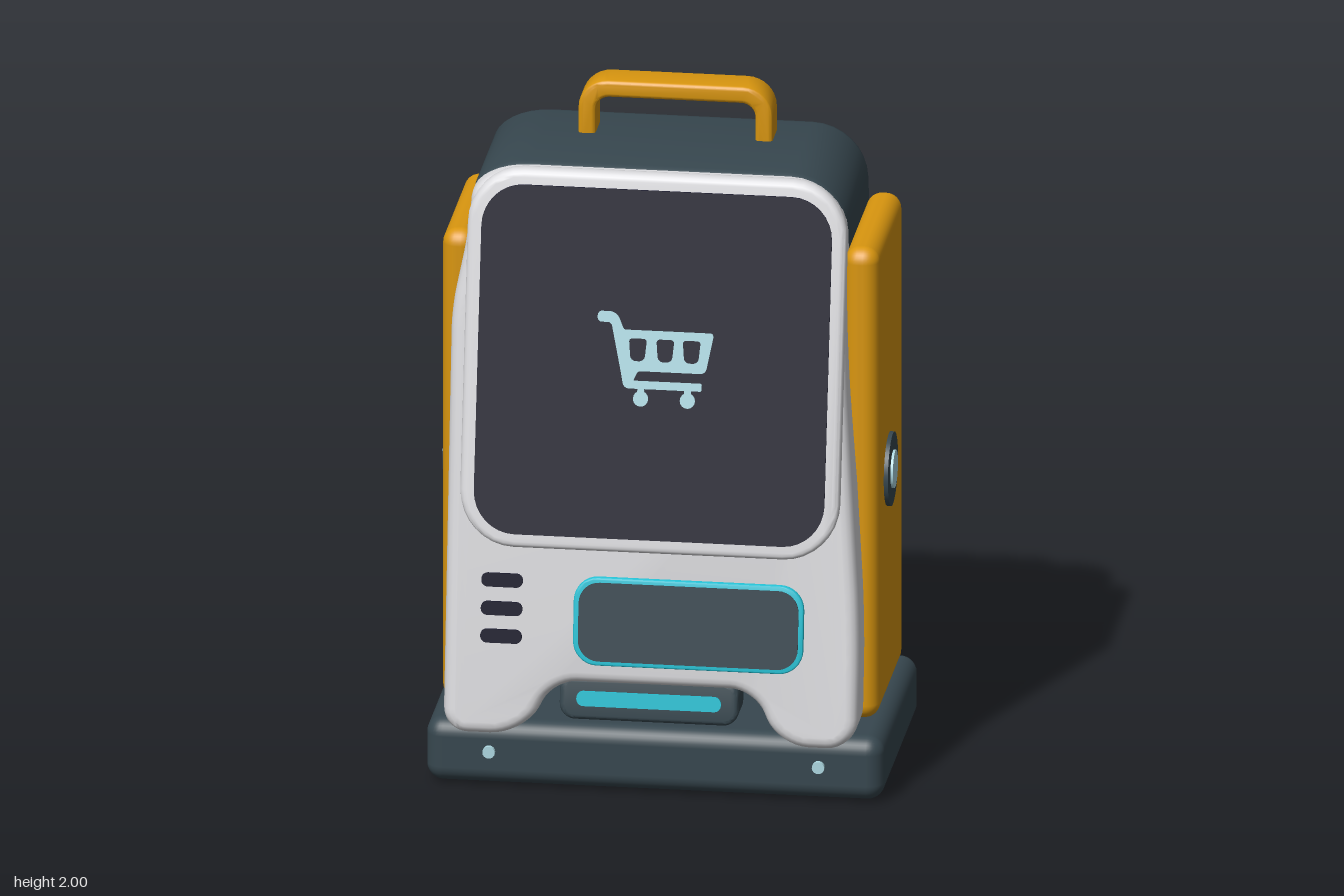
import * as THREE from 'three';
import { toCreasedNormals } from 'three/addons/utils/BufferGeometryUtils.js';
import { RoundedBoxGeometry } from 'three/addons/geometries/RoundedBoxGeometry.js';

const material = (name, color) => {
  const m = new THREE.MeshStandardMaterial({ color });
  m.name = name;
  return m;
};

// Closed outline from [x, y, cornerRadius] points
function roundedOutline(points, Target = THREE.Shape) {
  const shape = new Target();
  const n = points.length;
  points.forEach(([x, y, r], i) => {
    const p = new THREE.Vector2(x, y);
    const toward = ([qx, qy]) => {
      const d = new THREE.Vector2(qx, qy).sub(p);
      return d.setLength(Math.min(r, d.length() * 0.49)).add(p);
    };
    const a = toward(points[(i + n - 1) % n]);
    const b = toward(points[(i + 1) % n]);
    if (i === 0) shape.moveTo(a.x, a.y);
    else shape.lineTo(a.x, a.y);
    // Control points pulled close to a circular arc
    const k = 0.55;
    const c = a.clone().lerp(p, k), d = b.clone().lerp(p, k);
    shape.bezierCurveTo(c.x, c.y, d.x, d.y, b.x, b.y);
  });
  shape.closePath();
  return shape;
}

const rect = (x0, y0, x1, y1, r) =>
  roundedOutline([[x0, y0, r], [x1, y0, r], [x1, y1, r], [x0, y1, r]]);

// Extruded plate whose front lies at z = front - slope * y
function plateGeometry(shape, depth, bevel, front, slope = 0) {
  const geo = new THREE.ExtrudeGeometry(shape, {
    depth: depth - 2 * bevel, bevelEnabled: bevel > 0, bevelSize: bevel,
    bevelThickness: bevel, bevelOffset: -bevel, bevelSegments: 4, curveSegments: 8,
  });
  geo.translate(0, 0, bevel - depth);
  const p = geo.attributes.position;
  for (let i = 0; i < p.count; i++) p.setZ(i, p.getZ(i) + front - slope * p.getY(i));
  geo.computeVertexNormals();
  return toCreasedNormals(geo, 0.6);
}

// Body silhouette with two feet and a notch between them
const bodyOutline = (top) => roundedOutline([
  [-0.595, 0.2, 0.07], [-0.36, 0.2, 0.1], [-0.28, 0.36, 0.07], [0.3, 0.36, 0.07],
  [0.37, 0.2, 0.09], [0.6, 0.2, 0.09], [0.6, 0.55, 0.12], [0.542, 1.3, 0.12],
  [0.53, top, 0.16], [-0.54, top, 0.16], [-0.55, 1.65, 0.08], [-0.595, 1.42, 0.06],
]);

export function createModel() {
  const slate = material('slate', 0x37474f);
  const amber = material('amber', 0xd9960f);
  const white = material('shell white', 0xdadadd);
  const navy = material('dark navy', 0x0f0f26);
  const teal = material('teal', 0x24bfd2);
  const ice = material('pale blue', 0xaed9e2);

  const model = new THREE.Group();
  const add = (name, geo, mat, x = 0, y = 0, z = 0) => {
    const mesh = new THREE.Mesh(geo, mat);
    mesh.name = name;
    mesh.position.set(x, y, z);
    model.add(mesh);
    return mesh;
  };
  const plate = (name, mat, shape, depth, bevel, front, slope) =>
    add(name, plateGeometry(shape, depth, bevel, front, slope), mat);

  // Base with studs and floor pads
  add('base', new RoundedBoxGeometry(1.32, 0.192, 0.76, 4, 0.05), slate, 0, 0.101, -0.06);
  for (const s of [-1, 1]) {
    add('baseStud', new THREE.CylinderGeometry(0.018, 0.018, 0.03, 16), ice, s * 0.475, 0.11, 0.318)
      .rotation.x = Math.PI / 2;
    add('floorPad', new THREE.BoxGeometry(0.18, 0.008, 0.58), navy, s * 0.48, 0.004, -0.04);
  }

  // Main body and leaning front shell
  plate('body', slate, bodyOutline(1.84), 0.5, 0.04, 0.16);
  const face = 0.466, lean = 0.145;
  plate('frontShell', white, bodyOutline(1.834), 0.165, 0.035, face, lean);

  // Side panels with round badges
  for (const s of [-1, 1]) {
    add('sidePanel', new RoundedBoxGeometry(0.1, 1.43, 0.53, 4, 0.045), amber, s * 0.58, 0.925, -0.065);
    const disc = (name, r, outer, mat) =>
      add(name, new THREE.CylinderGeometry(r, r, 0.05, 40), mat, s * (outer - 0.025), 0.9, -0.025)
        .rotation.z = Math.PI / 2;
    disc('sideDiscRim', 0.107, 0.642, slate);
    disc('sideDiscCentre', 0.055, 0.649, ice);
  }

  // Carrying handle
  const grip = roundedOutline([
    [-0.28, 1.8, 0], [-0.23, 1.8, 0], [-0.23, 1.95, 0.04], [0.23, 1.95, 0.04],
    [0.23, 1.8, 0], [0.28, 1.8, 0], [0.28, 2, 0.085], [-0.28, 2, 0.085],
  ]);
  plate('handle', amber, grip, 0.11, 0.012, -0.125);

  // Screen
  const screenFace = 0.594, tilt = 0.21;
  plate('screenBezel', white, rect(-0.55, 0.77, 0.545, 1.842, 0.16), 0.05, 0.02, screenFace, tilt);
  plate('screenGlass', navy, rect(-0.508, 0.812, 0.503, 1.8, 0.12), 0.008, 0, screenFace + 0.003, tilt);

  // Cart pictogram: handle and basket, rail, legs and wheels
  const icon = (shape) => plate('cartIcon', ice, shape, 0.004, 0, screenFace + 0.006, tilt);
  const basket = roundedOutline([
    [-0.165, 1.455, 0.012], [-0.11, 1.455, 0.02], [-0.088, 1.405, 0.005], [0.172, 1.405, 0.012],
    [0.15, 1.29, 0.015], [-0.045, 1.29, 0.008], [-0.058, 1.262, 0.005], [0.14, 1.262, 0.004],
    [0.14, 1.24, 0.004], [-0.085, 1.24, 0.015], [-0.095, 1.29, 0.01], [-0.125, 1.425, 0.01],
    [-0.165, 1.425, 0.012],
  ]);
  for (const x of [-0.047, 0.032, 0.108]) {
    basket.holes.push(roundedOutline([
      [x - 0.026, 1.382, 0.01], [x + 0.026, 1.382, 0.01],
      [x + 0.02, 1.318, 0.015], [x - 0.02, 1.318, 0.015],
    ], THREE.Path));
  }
  icon(basket);
  for (const x of [-0.035, 0.1]) {
    icon(rect(x - 0.01, 1.215, x + 0.01, 1.241, 0.002));
    icon(new THREE.Shape().absarc(x, 1.212, 0.022, 0, Math.PI * 2));
  }

  // Vent slots
  for (const y of [0.49, 0.57, 0.652]) {
    plate('ventSlot', navy, rect(-0.49, y - 0.02, -0.37, y + 0.02, 0.019), 0.01, 0, face + 0.004, lean);
  }

  // Lower display with teal rim
  plate('displayRim', teal, rect(-0.222, 0.42, 0.442, 0.675, 0.07), 0.03, 0.005, face + 0.012, lean);
  plate('displayPanel', slate, rect(-0.207, 0.434, 0.427, 0.661, 0.06), 0.008, 0, face + 0.015, lean);

  // Dispenser tray with lit slot in the notch
  plate('tray', slate, rect(-0.262, 0.25, 0.255, 0.38, 0.045), 0.12, 0.015, face - 0.02, lean);
  plate('traySlot', teal, rect(-0.212, 0.293, 0.205, 0.336, 0.02), 0.009, 0, face - 0.015, lean);

  return model;
}
